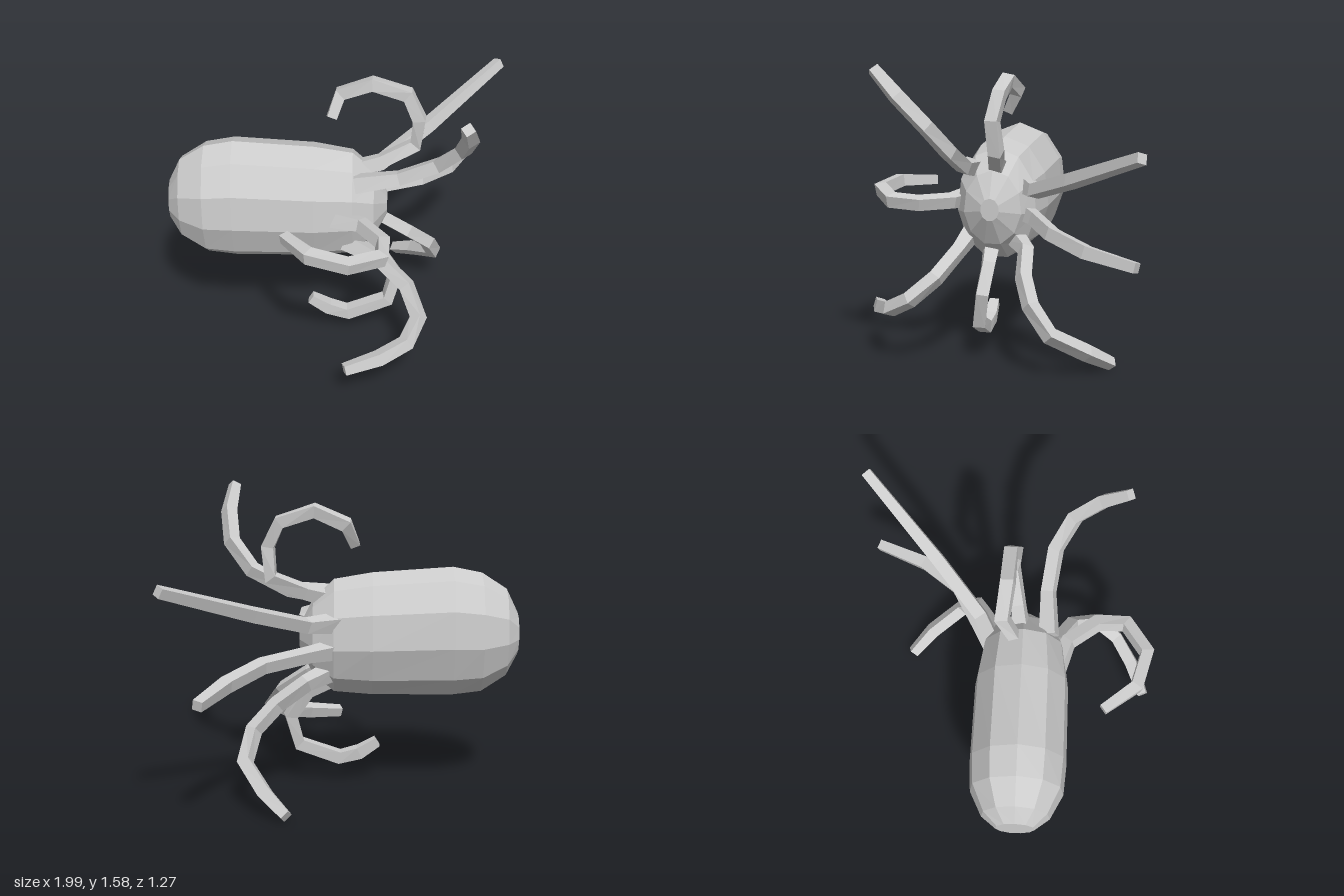
import * as THREE from 'three';

const V = (a) => new THREE.Vector3(...a);
const material = new THREE.MeshStandardMaterial({ color: 0xcccccc, flatShading: true, side: THREE.DoubleSide });

// Skin a list of rings (arrays of Vector3, counterclockwise about the path) and cap both ends
function loft(name, rings) {
  const n = rings[0].length, pos = [];
  const tri = (...pts) => pts.forEach((p) => pos.push(p.x, p.y, p.z));
  const centre = (ring) => ring.reduce((s, p) => s.add(p), new THREE.Vector3()).divideScalar(n);
  const first = rings[0], last = rings[rings.length - 1];
  const c0 = centre(first), c1 = centre(last);
  for (let j = 0; j < n; j++) {
    const k = (j + 1) % n;
    for (let i = 0; i < rings.length - 1; i++) {
      const a = rings[i], b = rings[i + 1];
      tri(a[j], a[k], b[j]);
      tri(a[k], b[k], b[j]);
    }
    tri(c0, first[k], first[j]);
    tri(c1, last[j], last[k]);
  }
  const g = new THREE.BufferGeometry();
  g.setAttribute('position', new THREE.Float32BufferAttribute(pos, 3));
  g.computeVertexNormals();
  const mesh = new THREE.Mesh(g, material);
  mesh.name = name;
  return mesh;
}

function ring(c, n, b, rn, rb, sides, phase = 0) {
  return Array.from({ length: sides }, (_, j) => {
    const a = (j / sides) * Math.PI * 2 + phase;
    return c.clone().addScaledVector(n, Math.cos(a) * rn).addScaledVector(b, Math.sin(a) * rb);
  });
}

// Long barrel body: [distance along axis, half width, half height, centre y]
function body() {
  const dir = V([0.95, 0, 0.31]).normalize(), up = V([0, 1, 0]);
  const side = dir.clone().cross(up);
  const sections = [
    [-0.76, 0.1, 0.11, 0.82], [-0.7, 0.175, 0.23, 0.825], [-0.57, 0.24, 0.315, 0.825],
    [-0.42, 0.25, 0.34, 0.83], [0, 0.245, 0.325, 0.815], [0.2, 0.215, 0.3, 0.805],
    [0.31, 0.155, 0.2, 0.8], [0.38, 0.05, 0.06, 0.8],
  ];
  return loft('body', sections.map(([s, w, h, y]) =>
    ring(V([-0.26, y, -0.1]).addScaledVector(dir, s), up, side, h, w, 11)));
}

// Four-sided jointed leg along a path, thicker at the root
function leg(name, path) {
  const pts = path.map(V), last = pts.length - 1;
  let n = V([0, 1, 0]);
  return loft(name, pts.map((p, i) => {
    const t = pts[Math.min(i + 1, last)].clone().sub(pts[Math.max(i - 1, 0)]).normalize();
    n = n.clone().addScaledVector(t, -n.dot(t)).normalize();
    const r = i === 0 ? 0.06 : i === last ? 0.036 : 0.046;
    return ring(p, n, t.clone().cross(n), r, r, 4, 0.5);
  }));
}

const legs = {
  upperFrontLeg: [[-0.1, 1, 0.09], [0.12, 1.03, 0.15], [0.3, 1.13, 0.24], [0.38, 1.27, 0.36], [0.36, 1.42, 0.5], [0.3, 1.55, 0.61]],
  topCurledLeg: [[-0.1, 0.99, -0.05], [0.08, 1.04, -0.02], [0.26, 1.12, 0], [0.27, 1.28, 0.02], [0.22, 1.41, -0.02],
    [0.05, 1.47, -0.08], [-0.1, 1.4, -0.15], [-0.16, 1.29, -0.11]],
  upperBackLeg: [[-0.05, 0.9, -0.19], [0.13, 0.9, -0.21], [0.45, 1, -0.35], [0.96, 1.18, -0.6]],
  middleBackLeg: [[-0.05, 0.76, -0.18], [0.12, 0.75, -0.22], [0.38, 0.72, -0.27], [0.6, 0.67, -0.41], [0.79, 0.63, -0.62]],
  lowerBackLeg: [[-0.05, 0.64, -0.12], [0.12, 0.59, -0.17], [0.27, 0.48, -0.14], [0.4, 0.36, -0.16], [0.47, 0.22, -0.25],
    [0.42, 0.11, -0.45], [0.35, 0.03, -0.59]],
  bottomCurledLeg: [[-0.12, 0.6, -0.02], [0.06, 0.5, 0.02], [0.14, 0.36, 0.06], [0.09, 0.2, 0.07], [-0.12, 0.12, 0.02],
    [-0.22, 0.15, -0.02], [-0.31, 0.21, -0.05]],
  lowerFrontLeg: [[-0.15, 0.65, 0.08], [0, 0.57, 0.17], [0.12, 0.45, 0.3], [0.14, 0.34, 0.44], [0.04, 0.27, 0.54],
    [-0.12, 0.24, 0.58], [-0.31, 0.22, 0.59]],
  middleFrontLeg: [[-0.25, 0.82, 0.08], [-0.1, 0.82, 0.2], [-0.04, 0.82, 0.38], [-0.09, 0.83, 0.52], [-0.28, 0.86, 0.57],
    [-0.45, 0.88, 0.46], [-0.52, 0.87, 0.26]],
};

export function createModel() {
  const model = new THREE.Group();
  model.name = 'eightLeggedCreature';
  model.add(body());
  for (const [name, path] of Object.entries(legs)) model.add(leg(name, path));
  return model;
}
